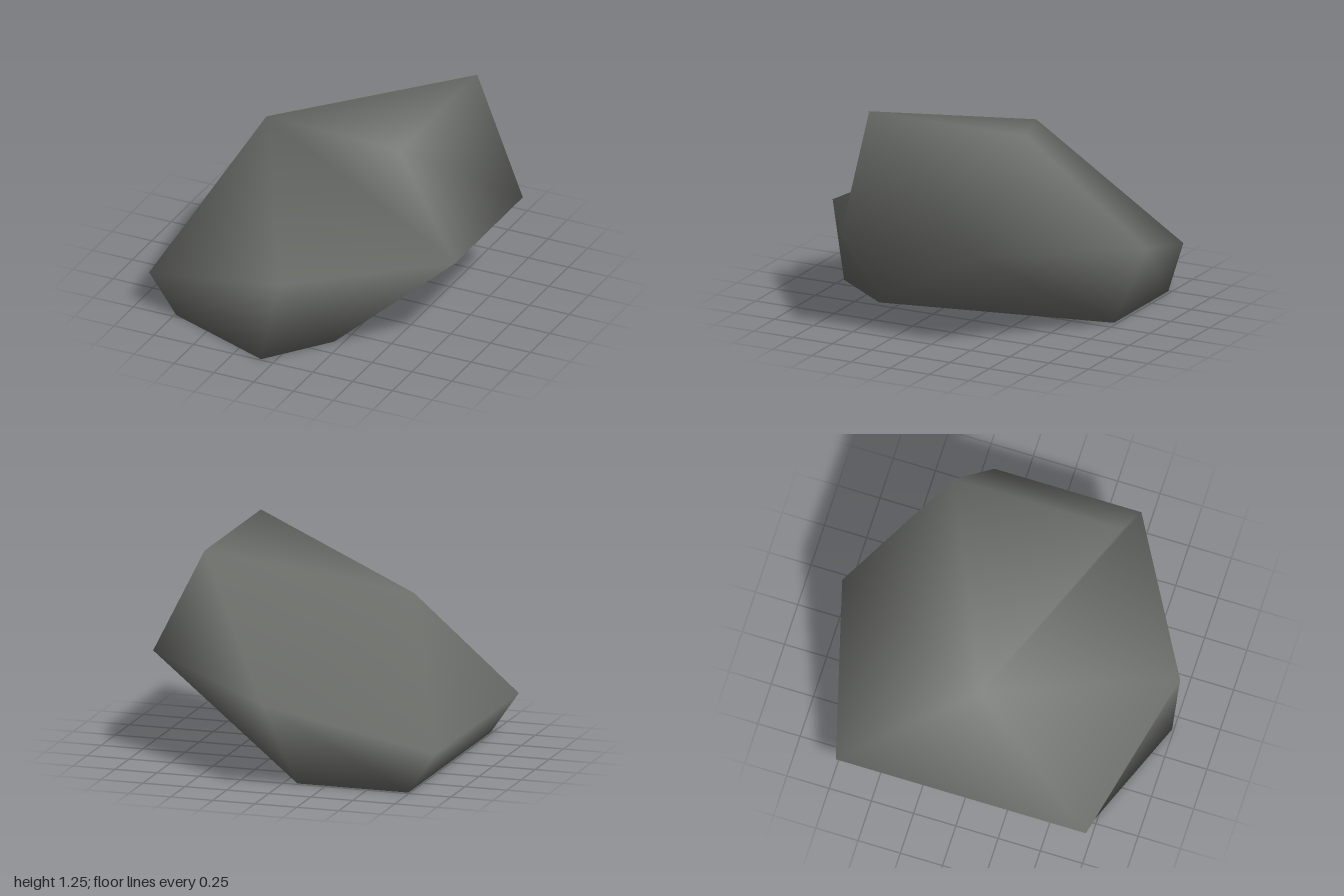
import * as THREE from 'three';

const stone = new THREE.MeshStandardMaterial({ color: 0x6e706c, side: THREE.DoubleSide });
stone.name = 'dark grey stone';

// Corner points of the boulder; a "b" marks the partner towards the back
const corners = {
  shoulder: [-0.53, 0.97, 0],
  peak: [0.55, 1.25, 0.5], peakB: [0.55, 1.25, -0.5],
  side: [0.9, 0.61, 0.5], sideB: [0.9, 0.61, -0.37],
  nose: [0.04, 0.51, 1], noseB: [0.04, 0.51, -1],
  heel: [-0.905, 0.24, 0.74], heelB: [-0.905, 0.24, -0.74],
  foot: [-0.74, 0, 0.73], footB: [-0.74, 0, -0.73],
  base: [-0.08, 0, 0.99], baseB: [-0.08, 0, -0.73],
  toe: [0.2, 0, 0.62],
};

const faces = [
  // Top and front
  'shoulder peak peakB', 'shoulder side peak', 'shoulder nose side', 'shoulder heel nose',
  'heel foot nose', 'foot base nose', 'nose base toe', 'nose toe side',
  // Overhanging side
  'peak side sideB', 'peak sideB peakB', 'side toe sideB', 'sideB toe baseB',
  // Back
  'sideB baseB noseB', 'sideB noseB peakB', 'shoulder peakB noseB', 'shoulder noseB heelB',
  'noseB footB heelB', 'noseB baseB footB',
  // Sloping side
  'shoulder heelB heel', 'heelB footB foot', 'heelB foot heel',
  // Underside
  'footB baseB toe', 'footB toe base', 'footB base foot',
];

export function createModel() {
  const names = Object.keys(corners);
  const geometry = new THREE.BufferGeometry();
  geometry.setAttribute('position', new THREE.Float32BufferAttribute(Object.values(corners).flat(), 3));
  geometry.setIndex(faces.flatMap((face) => face.split(' ').map((n) => names.indexOf(n))));
  // Shared corners give the soft, blended shading
  geometry.computeVertexNormals();

  const boulder = new THREE.Mesh(geometry, stone);
  boulder.name = 'boulder';
  const group = new THREE.Group();
  group.name = 'rock';
  group.add(boulder);
  return group;
}
